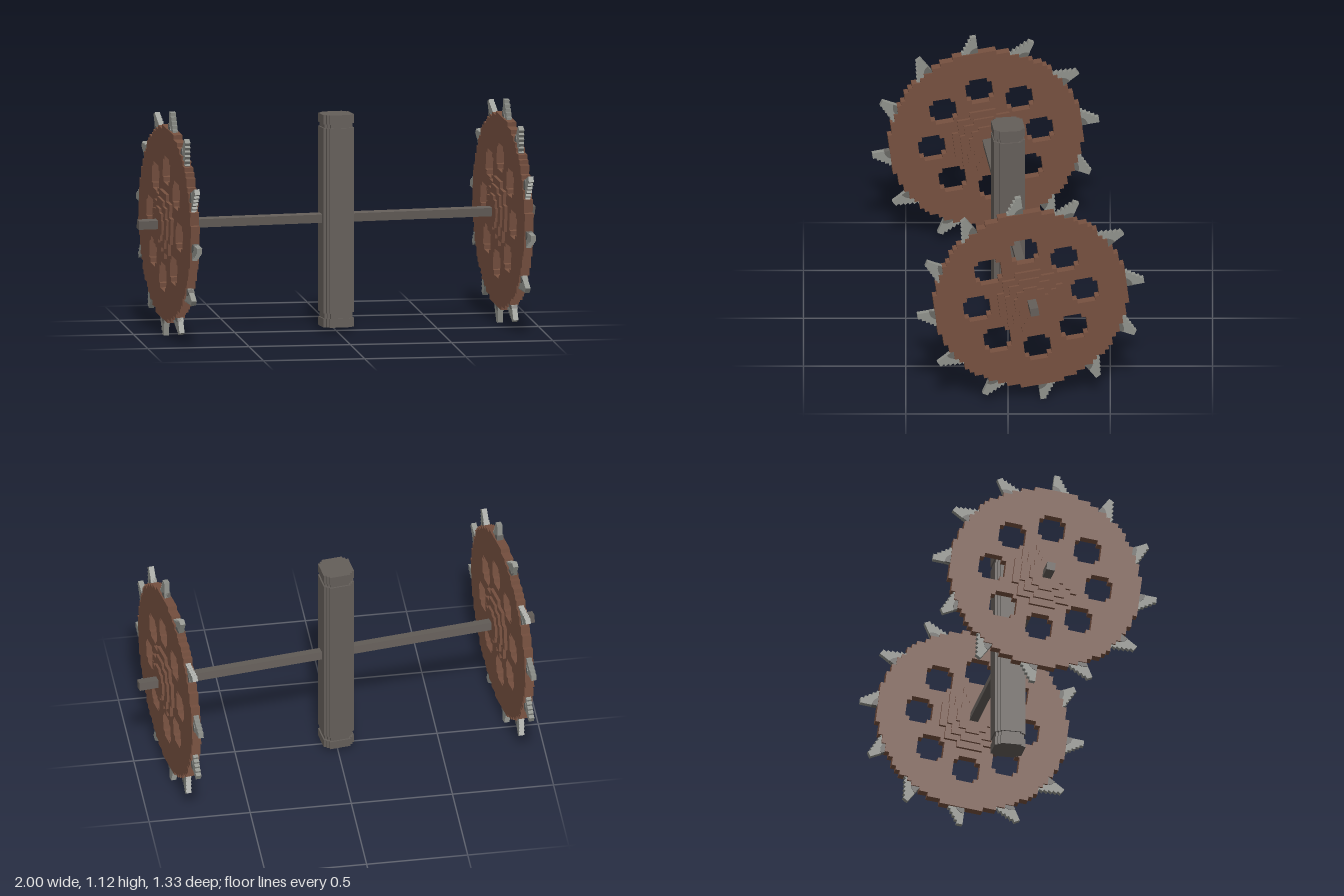
import * as THREE from 'three';

const wood = new THREE.MeshStandardMaterial({ color: 0x76503f });
wood.name = 'brown wheel';
const iron = new THREE.MeshStandardMaterial({ color: 0x645e59 });
iron.name = 'dark grey iron';
const steel = new THREE.MeshStandardMaterial({ color: 0x8f918b });
steel.name = 'light grey steel';
const rootSteel = new THREE.MeshStandardMaterial({ color: 0x686763 });
rootSteel.name = 'shaded steel';

const AXLE_Y = 0.5625;
const YAW = 0.13;   // whole rig turned about the vertical
const TILT = 0.122; // wheels turned about the axle

function add(parent, name, geometry, material) {
  const mesh = new THREE.Mesh(geometry, material);
  mesh.name = name;
  parent.add(mesh);
  return mesh;
}

// Outline of a disc made of n square steps per quadrant
function steppedPoints(r, n, cx = 0, cy = 0) {
  const h = r / n, quadrant = [];
  const w = (j) => h * Math.round(Math.sqrt(n * n - (j + 0.5) ** 2));
  for (let j = 0; j < n; j++) {
    if (j === 0 || w(j) !== w(j - 1)) quadrant.push([w(j), j * h]);
    if (j === n - 1 || w(j) !== w(j + 1)) quadrant.push([w(j), (j + 1) * h]);
  }
  const points = [];
  for (let q = 0; q < 4; q++) {
    for (const [x, y] of quadrant) {
      const [px, py] = [[x, y], [-y, x], [-x, -y], [y, -x]][q];
      points.push(new THREE.Vector2(cx + px, cy + py));
    }
  }
  return points;
}

// Slab centred on its own plane
function slab(shape, depth) {
  return new THREE.ExtrudeGeometry(shape, { depth, bevelEnabled: false, curveSegments: 6 })
    .translate(0, 0, -depth / 2);
}

// Spike with one straight edge and one stepped edge; x is outward
function spikeShape() {
  const shape = new THREE.Shape();
  const steps = 6, r0 = 0.45, r1 = 0.562;
  shape.moveTo(r0, -0.02);
  shape.lineTo(r1, -0.02);
  for (let i = steps - 1; i >= 0; i--) {
    const t = 0.01 + 0.064 * (1 - i / (steps - 1));
    shape.lineTo(r0 + (r1 - r0) * (i + 1) / steps, t);
    shape.lineTo(r0 + (r1 - r0) * i / steps, t);
  }
  shape.closePath();
  return shape;
}

function rootShape() {
  const shape = new THREE.Shape();
  shape.moveTo(0.455, -0.02);
  shape.lineTo(0.503, -0.02);
  shape.absarc(0.455, -0.02, 0.048, 0, Math.PI / 2, false);
  shape.closePath();
  return shape;
}

function createWheel() {
  const wheel = new THREE.Group();

  // Disc with eight notched holes
  const disc = new THREE.Shape(steppedPoints(0.475, 22));
  for (let i = 0; i < 8; i++) {
    const a = i * Math.PI / 4;
    disc.holes.push(new THREE.Path(steppedPoints(0.066, 3, 0.268 * Math.cos(a), 0.268 * Math.sin(a))));
  }
  add(wheel, 'wheelDisc', slab(disc, 0.045), wood);

  // Stepped hub on both faces
  for (const [r, depth] of [[0.162, 0.076], [0.127, 0.1], [0.085, 0.124]]) {
    add(wheel, 'hubLayer', slab(new THREE.Shape(steppedPoints(r, 5)), depth), wood);
  }

  // Twelve spikes round the rim
  const spikeGeometry = slab(spikeShape(), 0.026);
  const rootGeometry = slab(rootShape(), 0.032);
  for (let i = 0; i < 12; i++) {
    const spike = new THREE.Group();
    spike.name = 'spike';
    add(spike, 'spikeBlade', spikeGeometry, steel);
    add(spike, 'spikeRoot', rootGeometry, rootSteel);
    spike.rotation.z = i * Math.PI / 6;
    wheel.add(spike);
  }
  return wheel;
}

// Cross-shaped column section between two heights
function crossBlock(parent, name, y0, y1, wide, narrow) {
  const y = (y0 + y1) / 2, h = y1 - y0;
  const s = new THREE.Shape();
  const quarter = [[wide, narrow], [narrow, narrow], [narrow, wide]];
  // corners step inward between the four arms
  const inner = (wide + narrow) / 2;
  quarter[1] = [inner, inner];
  const points = [];
  const corner = [[wide, narrow], [inner, narrow], [inner, inner], [narrow, inner], [narrow, wide]];
  for (let q = 0; q < 4; q++) {
    for (const [a, b] of corner) {
      const [px, py] = [[a, b], [-b, a], [-a, -b], [b, -a]][q];
      points.push(new THREE.Vector2(px, py));
    }
  }
  s.setFromPoints(points);
  add(parent, name, slab(s, h).rotateX(-Math.PI / 2), iron).position.y = y;
}

export function createModel() {
  const model = new THREE.Group();
  model.name = 'spikedWheelAxle';
  const rig = new THREE.Group();
  rig.name = 'rig';
  rig.rotation.y = YAW;
  model.add(rig);

  // Upright post with recessed necks and end caps
  crossBlock(rig, 'post', 0.097, 1.01, 0.077, 0.052);
  crossBlock(rig, 'postNeck', 0.06, 1.04, 0.07, 0.046);
  crossBlock(rig, 'topCap', 1.03, 1.075, 0.077, 0.052);
  crossBlock(rig, 'bottomCap', 0.027, 0.07, 0.077, 0.052);

  // Square axle
  const axle = add(rig, 'axle', new THREE.BoxGeometry(2.01, 0.042, 0.042), iron);
  axle.position.y = AXLE_Y;
  axle.rotation.x = TILT;

  // Wheels at both ends
  for (const side of [1, -1]) {
    const holder = new THREE.Group();
    holder.name = side > 0 ? 'leftWheel' : 'rightWheel';
    holder.position.set(side * 0.847, AXLE_Y, 0);
    holder.rotation.y = Math.PI / 2;
    const wheel = createWheel();
    wheel.name = 'wheel';
    wheel.rotation.z = TILT;
    holder.add(wheel);
    rig.add(holder);
  }
  return model;
}
